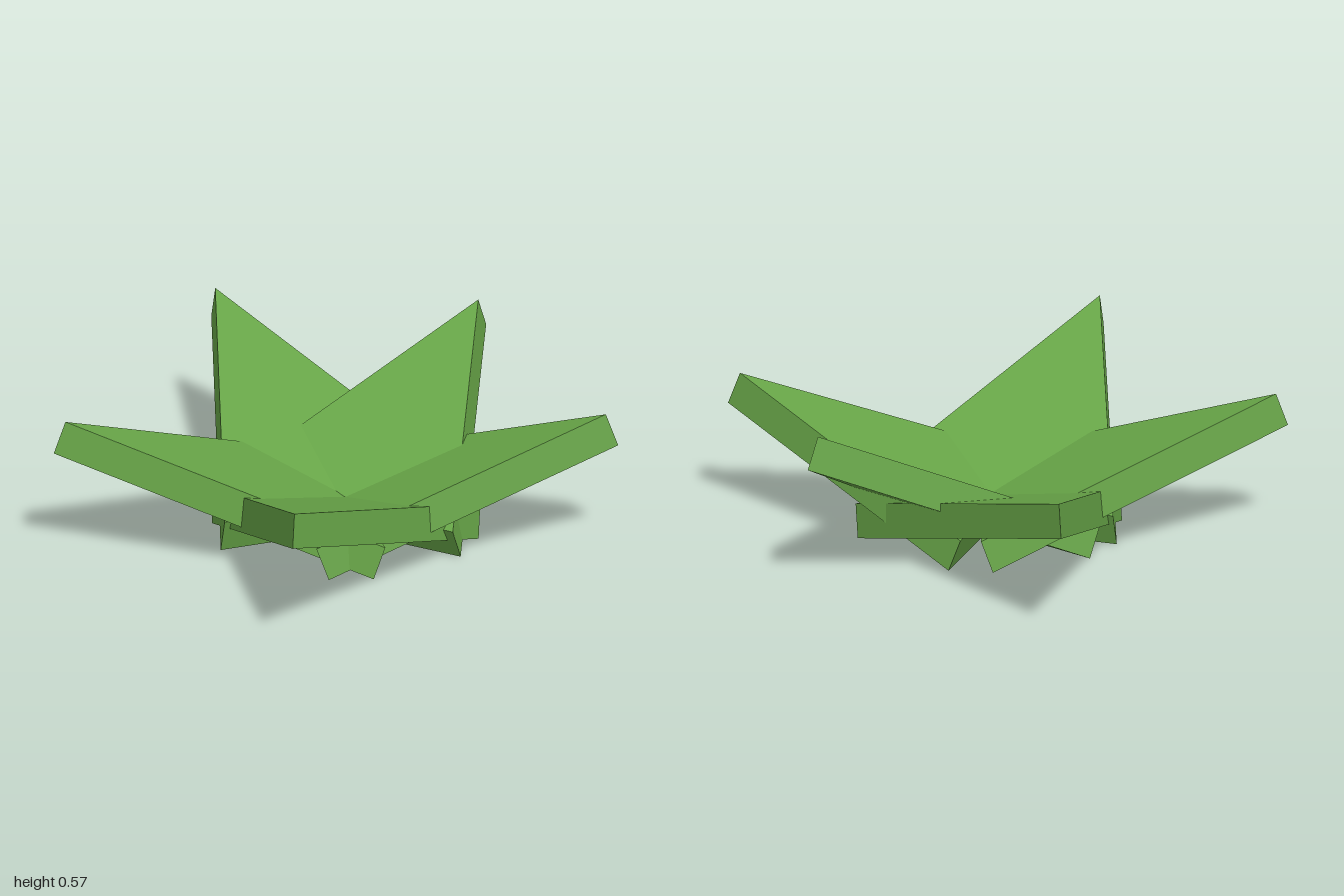
import * as THREE from 'three';

const HALF_WIDTH = 0.475;
const THICKNESS = 0.123;

// Thick triangular leaf: base on the ground line, tip rising outwards
function leafGeometry(reach, rise) {
  const length = Math.hypot(reach, rise);
  const shape = new THREE.Shape([
    new THREE.Vector2(0, -HALF_WIDTH),
    new THREE.Vector2(length, 0),
    new THREE.Vector2(0, HALF_WIDTH),
  ]);
  const geometry = new THREE.ExtrudeGeometry(shape, { depth: THICKNESS, bevelEnabled: false });
  geometry.rotateX(-Math.PI / 2);
  geometry.rotateZ(Math.atan2(rise, reach));
  return geometry;
}

export function createModel() {
  const plant = new THREE.Group();
  plant.name = 'plant';
  const leafGreen = new THREE.MeshStandardMaterial({ color: 0x68a648, flatShading: true });
  leafGreen.name = 'leafGreen';

  // Lower tip corner of each leaf: x, y, z
  const tips = [
    [0.99, 0.46, 0.01],
    [0.52, 0.37, 0.94],
    [-1.0, 0.39, 0.645],
    [-0.75, 0.38, -0.59],
    [0.66, 0.37, -0.95],
  ];
  const centre = new THREE.Vector3(0.04, 0, 0.1);

  // All leaves cross at the common centre
  tips.forEach(([x, y, z], i) => {
    const dx = x - centre.x;
    const dz = z - centre.z;
    const leaf = new THREE.Mesh(leafGeometry(Math.hypot(dx, dz), y), leafGreen);
    leaf.name = `leaf${i + 1}`;
    leaf.position.copy(centre);
    leaf.rotation.y = -Math.atan2(dz, dx);
    plant.add(leaf);
  });
  return plant;
}
